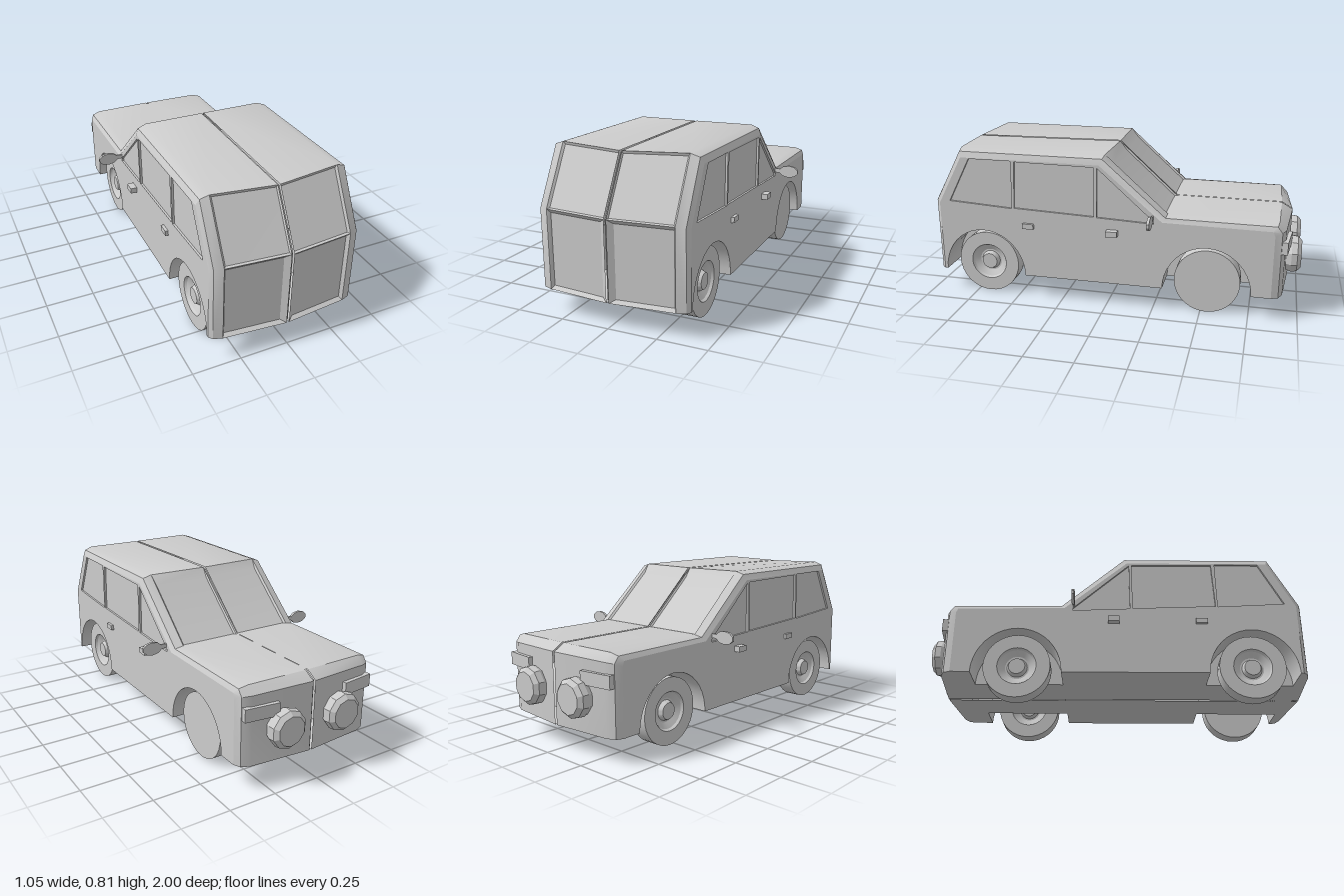
import * as THREE from 'three';
import { toCreasedNormals } from 'three/addons/utils/BufferGeometryUtils.js';

const paint = new THREE.MeshStandardMaterial({ color: 0xcccccc, side: THREE.DoubleSide });
paint.name = 'light grey';

const SEAM = 0.006, FLOOR = 0.125, SIDE = 0.39;
const ARCHES = [-0.53, 0.685]; // arch centres along z

// Body outlines as (z, y), from rear bottom over the roof to front bottom
const OUTLINES = [
  { x: SIDE, p: [[0.93, FLOOR], [0.93, 0.51], [0.79, 0.77], [0.035, 0.77], [-0.295, 0.49], [-0.85, 0.485], [-0.86, 0.46], [-0.86, FLOOR]] },
  { x: 0.375, p: [[0.95, FLOOR], [0.95, 0.52], [0.8, 0.8], [0.022, 0.8], [-0.31, 0.51], [-0.87, 0.508], [-0.895, 0.475], [-0.895, FLOOR]] },
  { x: 0.33, p: [[0.965, FLOOR], [0.965, 0.525], [0.805, 0.815], [0.015, 0.815], [-0.315, 0.52], [-0.878, 0.52], [-0.915, 0.48], [-0.915, FLOOR]] },
  { x: SEAM, p: [[0.995, FLOOR], [0.995, 0.525], [0.838, 0.805], [0.01, 0.813], [-0.315, 0.52], [-0.885, 0.52], [-0.943, 0.485], [-0.943, FLOOR]] },
];

// Side window outlines as (z, y)
const WINDOWS = [
  [[0.87, 0.525], [0.745, 0.765], [0.51, 0.765], [0.515, 0.505]],
  [[0.49, 0.762], [0.06, 0.757], [0.065, 0.492], [0.503, 0.508]],
  [[0.045, 0.755], [-0.25, 0.492], [-0.25, 0.478], [0.05, 0.49]],
];

function add(parent, name, geometry, x = 0, y = 0, z = 0) {
  const mesh = new THREE.Mesh(geometry, paint);
  mesh.name = name;
  mesh.position.set(x, y, z);
  parent.add(mesh);
  return mesh;
}

function facets(triangles, crease = 0.5) {
  const g = new THREE.BufferGeometry();
  g.setAttribute('position', new THREE.Float32BufferAttribute(triangles.flatMap((v) => [v.x, v.y, v.z]), 3));
  g.computeVertexNormals();
  return toCreasedNormals(g, crease);
}

const quad = (out, a, b, c, d) => out.push(a, b, c, a, c, d);

// A quad whose middle is sunk behind sloping edges
function sunkQuad(out, corners, [u0, u1, v0, v1], depth) {
  const [a, b, c, d] = corners;
  const normal = b.clone().sub(a).cross(d.clone().sub(a)).normalize();
  const at = (u, v) => a.clone().lerp(b, v).lerp(d.clone().lerp(c, v), u).addScaledVector(normal, -depth);
  const inner = [at(u0, v0), at(u0, v1), at(u1, v1), at(u1, v0)];
  quad(out, ...inner);
  corners.forEach((p, i) => {
    const k = (i + 1) % 4;
    quad(out, p, corners[k], inner[k], inner[i]);
  });
}

// Shape in the side plane; turned so that it faces +x
const sideShape = (points) => new THREE.Shape(points.map(([z, y]) => new THREE.Vector2(-z, y)));
const turned = (geometry, x) => geometry.rotateY(Math.PI / 2).translate(x, 0, 0);

// Arch points from front foot to rear foot
function archPoints(cz, n = 20) {
  return Array.from({ length: n + 1 }, (_, i) => {
    const a = Math.PI * (1 - i / n);
    return [cz + 0.23 * Math.cos(a), FLOOR + 0.245 * Math.sin(a)];
  });
}

function shellGeometry() {
  const sunk = { // outer, inner, lower, upper margins and depth
    0: [[0.03, 0.91, 0.04, 0.95], 0.018],
    1: [[0.03, 0.98, 0.03, 0.97], 0.01],
    3: [[0.03, 0.98, 0.14, 0.98], 0.01],
  };
  const tris = [];
  for (let i = 0; i < 3; i++) {
    for (let j = 0; j < 7; j++) {
      const at = (k, m) => new THREE.Vector3(OUTLINES[k].x, OUTLINES[k].p[m][1], OUTLINES[k].p[m][0]);
      const corners = [at(i, j), at(i, j + 1), at(i + 1, j + 1), at(i + 1, j)];
      if (i === 2 && sunk[j]) sunkQuad(tris, corners, ...sunk[j]);
      else quad(tris, ...corners);
    }
  }
  return facets(tris);
}

function buildHalf() {
  const half = new THREE.Group();
  add(half, 'bodyShell', shellGeometry());

  // Side panel with wheel arches cut out and window openings
  const panel = sideShape([...OUTLINES[0].p, ...ARCHES.flatMap((z) => archPoints(z))]);
  panel.holes = WINDOWS.map((w) => sideShape(w));
  add(half, 'sidePanel', turned(new THREE.ExtrudeGeometry(panel, { depth: 0.012, bevelEnabled: false }), SIDE - 0.012));
  WINDOWS.forEach((w) => add(half, 'sideWindow', turned(new THREE.ShapeGeometry(sideShape(w)), SIDE - 0.011)));

  // Wheel wells
  const inner = 0.22;
  ARCHES.forEach((cz) => {
    const pts = archPoints(cz), tris = [];
    for (let i = 0; i < pts.length - 1; i++) {
      const at = (x, k) => new THREE.Vector3(x, pts[k][1], pts[k][0]);
      quad(tris, at(inner, i), at(inner, i + 1), at(SIDE - 0.01, i + 1), at(SIDE - 0.01, i));
    }
    add(half, 'wheelWell', facets(tris));
    add(half, 'wheelWellWall', turned(new THREE.ShapeGeometry(sideShape(pts)), inner));
  });

  // Floor with gaps below the wells
  const ends = (k) => [...OUTLINES].map((o) => new THREE.Vector2(o.x, o.p[k][0]));
  const gaps = [...ARCHES].reverse().flatMap((z) => [[SIDE, z + 0.23], [inner, z + 0.23], [inner, z - 0.23], [SIDE, z - 0.23]])
    .map(([x, z]) => new THREE.Vector2(x, z));
  const floor = new THREE.ShapeGeometry(new THREE.Shape([...ends(0).reverse(), ...gaps, ...ends(7)]));
  add(half, 'floor', floor.rotateX(Math.PI / 2), 0, FLOOR, 0);

  // Door handles
  add(half, 'frontDoorHandle', new THREE.BoxGeometry(0.04, 0.03, 0.06), 0.405, 0.415, -0.035);
  add(half, 'rearDoorHandle', new THREE.BoxGeometry(0.02, 0.028, 0.06), 0.396, 0.415, 0.425);

  // Wing mirror
  add(half, 'mirrorArm', new THREE.BoxGeometry(0.055, 0.022, 0.01), 0.41, 0.512, -0.245);
  const glass = new THREE.CylinderGeometry(1, 1, 0.014, 10).rotateX(Math.PI / 2).scale(0.055, 0.034, 1);
  add(half, 'mirror', toCreasedNormals(glass, 0.5), 0.472, 0.511, -0.245);

  // Headlamp and indicator
  const lampProfile = [[0.085, 0], [0.1, 0.04], [0.096, 0.07], [0.075, 0.09], [0, 0.09]].map(([r, h]) => new THREE.Vector2(r, h));
  const lamp = new THREE.LatheGeometry(lampProfile, 10).rotateX(-Math.PI / 2);
  add(half, 'headlamp', toCreasedNormals(lamp, 0.3), 0.165, 0.295, -0.91);
  add(half, 'indicator', new THREE.BoxGeometry(0.18, 0.065, 0.03), 0.285, 0.395, -0.922).rotation.y = -0.12;
  return half;
}

// Wheel with a dished hub on one face; outward is +1 or -1 along x
function wheelGeometry(outward) {
  const profile = [[0, -0.043], [0.172, -0.043], [0.172, 0.043], [0.1, 0.043], [0.092, 0.03], [0.062, 0.012], [0.052, 0.012], [0.042, 0.036], [0, 0.036]];
  const g = new THREE.LatheGeometry(profile.map(([r, h]) => new THREE.Vector2(r, h)), 36);
  return toCreasedNormals(g.rotateZ(-outward * Math.PI / 2), 0.4);
}

export function createModel() {
  const model = new THREE.Group();
  model.name = 'car';

  const left = buildHalf();
  left.name = 'leftHalf';
  const right = buildHalf();
  right.name = 'rightHalf';
  right.scale.x = -1;
  model.add(left, right);

  // Core behind the centre seam
  const core = sideShape(OUTLINES[3].p.map(([z, y]) => [z * 0.985, 0.45 + (y - 0.45) * 0.97]));
  add(model, 'seamCore', turned(new THREE.ExtrudeGeometry(core, { depth: 0.016, bevelEnabled: false }), -0.008));

  // Wheels; the front one on +x has its hub turned inward
  add(model, 'frontLeftWheel', wheelGeometry(-1), 0.315, 0.172, -0.53);
  add(model, 'frontRightWheel', wheelGeometry(-1), -0.318, 0.172, -0.53);
  add(model, 'rearLeftWheel', wheelGeometry(1), 0.31, 0.172, 0.68);
  add(model, 'rearRightWheel', wheelGeometry(-1), -0.318, 0.172, 0.68);
  return model;
}
